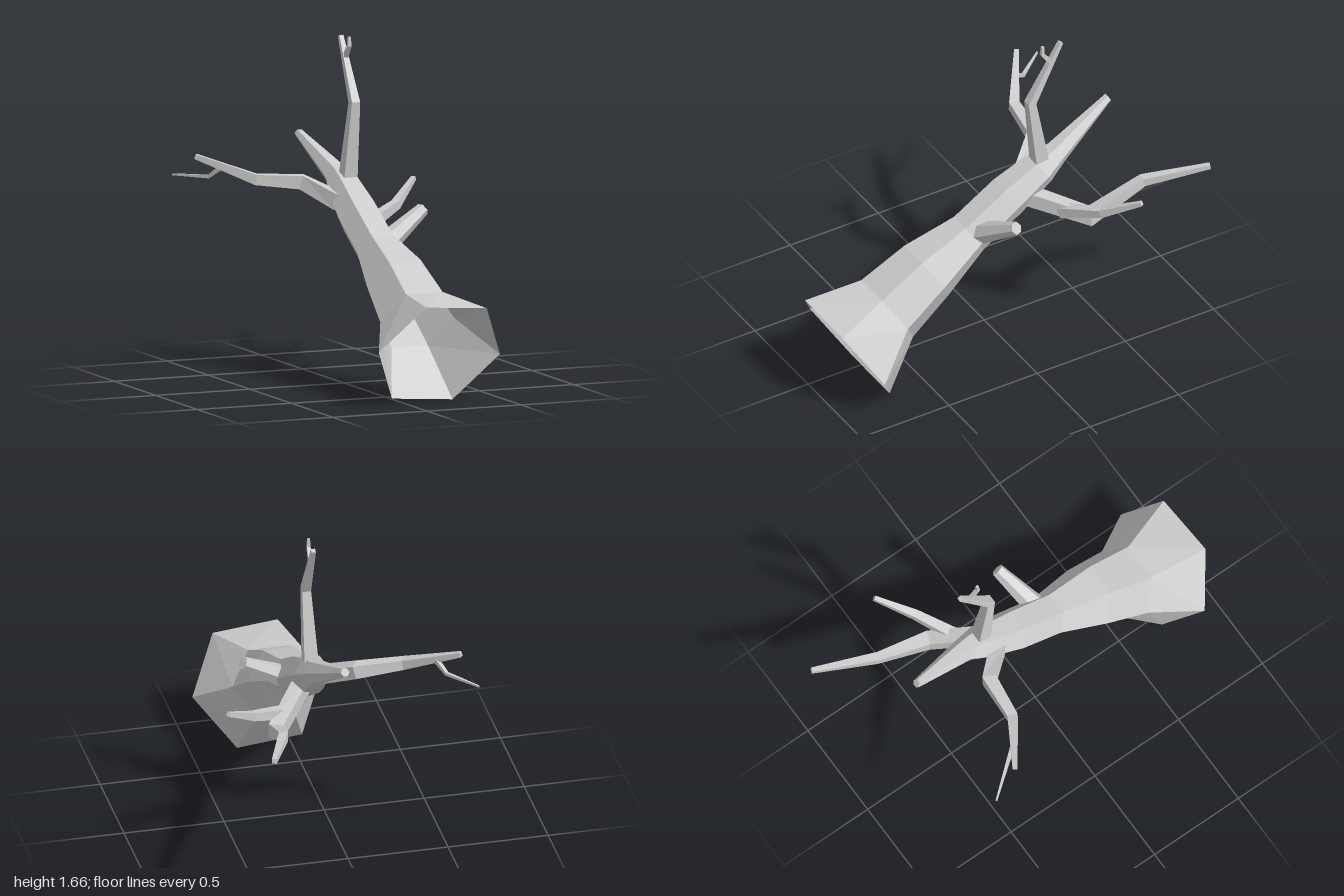
import * as THREE from 'three';

const V = (a) => new THREE.Vector3(...a);
const bark = new THREE.MeshStandardMaterial({ color: 0xcccccc, flatShading: true });
const hollowBark = new THREE.MeshStandardMaterial({ color: 0xcccccc, flatShading: true, side: THREE.DoubleSide });

// Joins rings of equal point count into a faceted skin, with optional end caps
function loft(rings, capStart, capEnd) {
  const n = rings[0].length;
  const pos = [];
  const tri = (...pts) => pts.forEach((p) => pos.push(p.x, p.y, p.z));
  for (let i = 0; i < rings.length - 1; i++) {
    for (let j = 0; j < n; j++) {
      const k = (j + 1) % n;
      const a = rings[i][j], b = rings[i][k], c = rings[i + 1][j], d = rings[i + 1][k];
      tri(a, c, b);
      tri(b, c, d);
    }
  }
  const first = rings[0], last = rings[rings.length - 1];
  for (let j = 1; j < n - 1; j++) {
    if (capStart) tri(first[0], first[j], first[j + 1]);
    if (capEnd) tri(last[0], last[j + 1], last[j]);
  }
  const geo = new THREE.BufferGeometry();
  geo.setAttribute('position', new THREE.Float32BufferAttribute(pos, 3));
  geo.computeVertexNormals();
  return geo;
}

// Regular polygon around a centre, spanned by two axes
function ring(center, side, up, radius, sides, phase) {
  return Array.from({ length: sides }, (_, j) => {
    const a = phase + (j / sides) * Math.PI * 2;
    return center.clone()
      .addScaledVector(side, Math.cos(a) * radius)
      .addScaledVector(up, Math.sin(a) * radius);
  });
}

// Tapered limb following a bent path; each row is x, y, z, radius
function limb(name, rows, { sides = 4, hint = [0, 1, 0] } = {}) {
  const pts = rows.map((r) => V(r.slice(0, 3)));
  const rings = pts.map((p, i) => {
    const t = new THREE.Vector3();
    if (i > 0) t.add(p.clone().sub(pts[i - 1]).normalize());
    if (i < pts.length - 1) t.add(pts[i + 1].clone().sub(p).normalize());
    t.normalize();
    const side = t.clone().cross(V(hint)).normalize();
    const up = side.clone().cross(t);
    return ring(p, side, up, rows[i][3], sides, sides === 4 ? Math.PI / 4 : 0);
  });
  const mesh = new THREE.Mesh(loft(rings, true, true), bark);
  mesh.name = name;
  return mesh;
}

export function createModel() {
  const tree = new THREE.Group();
  tree.name = 'fallenTree';

  // Hollow leaning trunk: x, y, z, radius, twist of each hexagonal ring
  const side = V([1, 0, 0]);
  const up = V([0, 0.853, 0.522]);
  const trunkRings = [
    [0.13, 0.245, 0.855, 0.33, -0.09],
    [0.115, 0.378, 0.62, 0.195, 0],
    [0.115, 0.525, 0.395, 0.168, 0],
    [0.113, 0.655, 0.155, 0.112, 0],
    [0.11, 0.795, -0.07, 0.11, 0],
    [0.115, 0.9, -0.245, 0.09, 0],
    [0.115, 0.955, -0.34, 0.062, 0],
    [0.055, 1.125, -0.67, 0.022, 0],
  ].map(([x, y, z, r, twist]) => ring(V([x, y, z]), side, up, r, 6, twist));
  const trunk = new THREE.Mesh(loft(trunkRings, false, true), hollowBark);
  trunk.name = 'trunk';
  tree.add(trunk);

  // Upright branch and its twig
  const upright = { hint: [0, 0, 1] };
  tree.add(limb('topBranch', [
    [0.125, 0.9, -0.245, 0.053],
    [0.135, 1.335, -0.18, 0.031],
    [0.137, 1.64, -0.35, 0.015],
  ], upright));
  tree.add(limb('topTwig', [
    [0.137, 1.54, -0.295, 0.016],
    [0.137, 1.605, -0.246, 0.013],
    [0.137, 1.65, -0.248, 0.009],
  ], upright));

  // Branch reaching to -x and its twig
  tree.add(limb('rightBranch', [
    [0.06, 0.85, -0.18, 0.055],
    [-0.08, 0.938, -0.33, 0.048],
    [-0.31, 0.96, -0.355, 0.036],
    [-0.56, 1.066, -0.52, 0.017],
  ]));
  tree.add(limb('rightTwig', [
    [-0.45, 1.015, -0.455, 0.016],
    [-0.49, 0.963, -0.515, 0.012],
    [-0.615, 0.96, -0.67, 0.006],
  ]));

  // Branch reaching to +x and its fork
  tree.add(limb('leftBranch', [
    [0.13, 0.8, -0.13, 0.055],
    [0.335, 0.687, -0.4, 0.052],
    [0.365, 0.815, -0.68, 0.032],
    [0.485, 0.86, -0.99, 0.017],
  ]));
  tree.add(limb('leftFork', [
    [0.26, 0.72, -0.28, 0.04],
    [0.45, 0.785, -0.395, 0.029],
    [0.605, 0.888, -0.53, 0.015],
  ]));

  // Broken-off stub on the +x side
  tree.add(limb('brokenStub', [
    [0.17, 0.685, 0.13, 0.058],
    [0.395, 0.828, 0.055, 0.033],
  ], { sides: 6 }));

  return tree;
}
